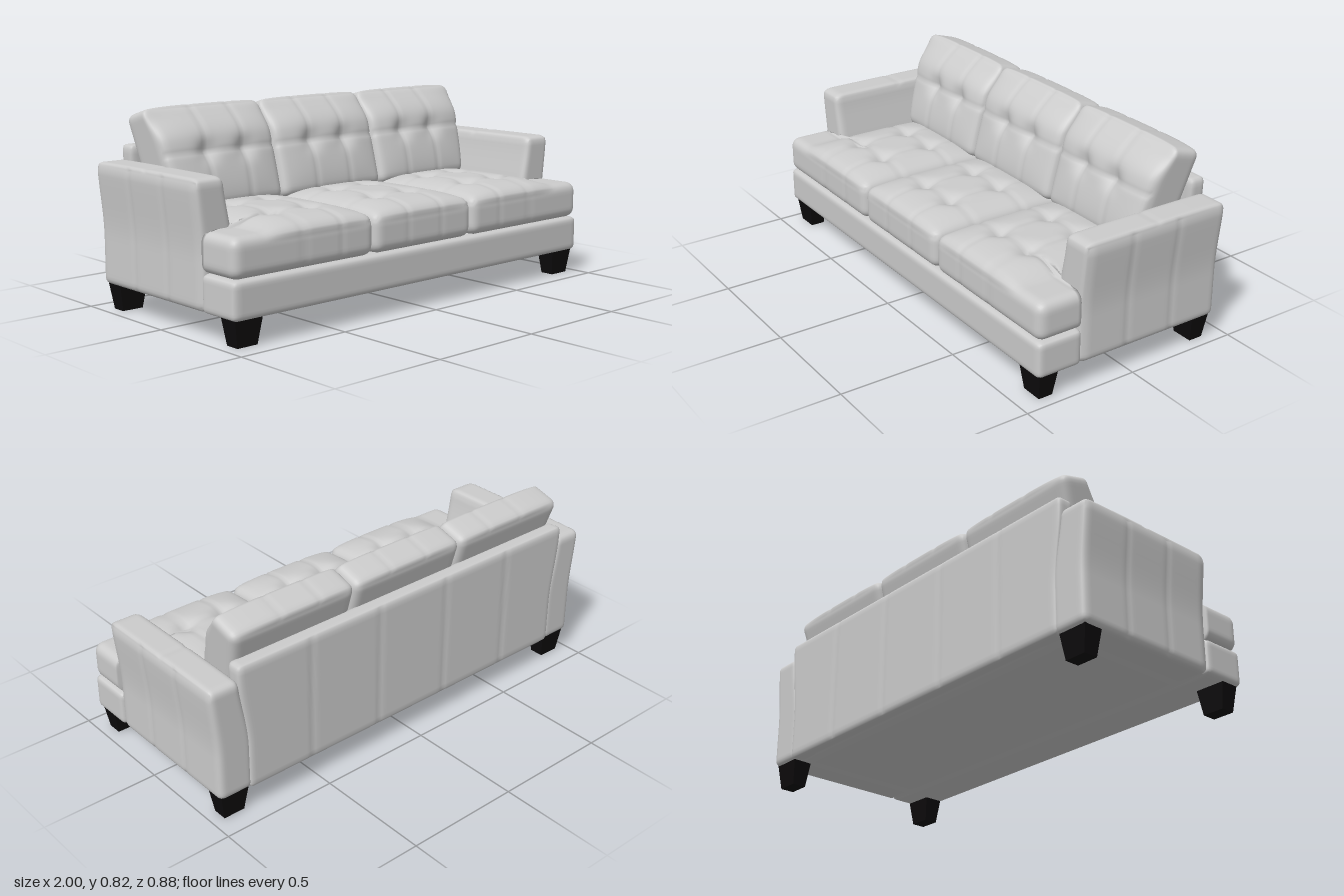
import * as THREE from 'three';
import { mergeVertices } from 'three/addons/utils/BufferGeometryUtils.js';

const leather = new THREE.MeshStandardMaterial({ color: 0xcccccc, roughness: 0.7 });
const darkWood = new THREE.MeshStandardMaterial({ color: 0x0d0b0c });

const bell = (d, width) => Math.exp(-(d * d) / (width * width));
const pillow = (u) => Math.max(0, 1 - u ** 4);
const ramp = THREE.MathUtils.smoothstep;

// Sum of narrow grooves at the given positions along one axis
const grooves = (v, places, depth = 0.005) =>
  -depth * places.reduce((sum, p) => sum + bell(v - p, 0.011), 0);

// Dense box from min to max with rounded edges.
// bend(p) reshapes it; swell(p, n) gives the push along the surface normal.
function softBox(min, max, radius, segments, { bend, swell } = {}) {
  const lo = new THREE.Vector3(...min), hi = new THREE.Vector3(...max);
  const size = hi.clone().sub(lo), centre = lo.clone().add(hi).multiplyScalar(0.5);
  let geo = new THREE.BoxGeometry(size.x, size.y, size.z, ...segments);
  geo.deleteAttribute('uv');
  geo.deleteAttribute('normal');
  geo = mergeVertices(geo, 1e-5);
  const inner = size.clone().multiplyScalar(0.5).subScalar(radius);
  const pos = geo.attributes.position;
  const p = new THREE.Vector3(), core = new THREE.Vector3(), n = new THREE.Vector3();
  for (let i = 0; i < pos.count; i++) {
    p.fromBufferAttribute(pos, i);
    core.copy(p).clamp(inner.clone().negate(), inner);
    p.sub(core).setLength(radius).add(core).add(centre);
    if (bend) bend(p);
    pos.setXYZ(i, p.x, p.y, p.z);
  }
  geo.computeVertexNormals();
  if (swell) {
    const normals = geo.attributes.normal;
    for (let i = 0; i < pos.count; i++) {
      p.fromBufferAttribute(pos, i);
      n.fromBufferAttribute(normals, i);
      p.addScaledVector(n, swell(p, n));
      pos.setXYZ(i, p.x, p.y, p.z);
    }
    geo.computeVertexNormals();
  }
  return geo;
}

function addPart(group, name, geometry, material = leather) {
  const mesh = new THREE.Mesh(geometry, material);
  mesh.name = name;
  group.add(mesh);
  return mesh;
}

// Seat cushion; side is -1, 0 or 1. Outer ones wrap round the arm fronts.
function seatCushion(side) {
  const centre = side * 0.55, half = side ? 0.268 : 0.279;
  const seams = [centre - 0.095, centre + 0.095], rows = [0, 0.24];
  return softBox([centre - half, 0.257, -0.27], [centre + half, 0.415, 0.438], 0.04, [42, 12, 48], {
    bend(p) {
      if (side && p.z > 0.245) p.x += side * 0.162 * ramp(p.x * side, 0.55, 0.78);
    },
    swell(p, n) {
      if (n.y > 0.5) {
        let h = 0.042 * pillow((p.x - centre) / half) * pillow((p.z - 0.12) / 0.33);
        h += grooves(p.x, seams) + grooves(p.z, rows);
        for (const x of seams) for (const z of rows) h -= 0.024 * bell(Math.hypot(p.x - x, p.z - z), 0.045);
        return h;
      }
      return n.z > 0.5 ? grooves(p.x, seams, 0.003) : 0;
    },
  });
}

// Back cushion built upright about its own centre, buttoned on the front
function backCushion(side) {
  const centre = side * 0.565, half = 0.282;
  const seams = [side * 0.55 - 0.095, side * 0.55 + 0.095], row = 0.014;
  return softBox([centre - half, -0.215, -0.095], [centre + half, 0.215, 0.095], 0.035, [42, 32, 14], {
    bend(p) {
      // Outer edge leans out with the arm
      if (side) p.x += side * 0.025 * ramp(p.x * side, 0.5, 0.83) * (p.y / 0.2);
      // Top front edge rolls back
      if (p.z > 0) p.z -= 0.05 * ramp(p.y, 0.06, 0.215) * (p.z / 0.095);
    },
    swell(p, n) {
      const u = (p.x - centre) / half;
      if (n.z > 0.5) {
        let h = 0.022 * pillow(u) * pillow(p.y / 0.215);
        h += grooves(p.x, seams) + grooves(p.y, [row]);
        for (const x of seams) h -= 0.024 * bell(Math.hypot(p.x - x, p.y - row), 0.045);
        return h;
      }
      return n.y > 0.5 ? 0.008 * pillow(u) + grooves(p.x, seams, 0.003) : 0;
    },
  });
}

// Flared arm with panel seams
function arm(side) {
  return softBox([-0.08, 0.105, -0.432], [0.08, 0.606, 0.244], 0.028, [16, 40, 52], {
    bend(p) {
      const flare = ramp(p.y, 0.3, 0.64);
      p.x = side * 0.9 + p.x * (1 - 0.14 * flare) + side * 0.036 * flare;
    },
    swell(p, n) {
      if (n.x * side > 0.6) return grooves(p.z, [0.02, -0.2, 0.225], 0.004) + grooves(p.y, [0.585], 0.003);
      if (n.y > 0.6) return 0.004 * pillow(p.z / 0.44) + grooves(p.z, [-0.1, 0.225], 0.003);
      return 0;
    },
  });
}

// Tapered square leg
function legGeometry() {
  const geo = new THREE.CylinderGeometry(Math.SQRT1_2, Math.SQRT1_2 * 0.72, 0.112, 4).toNonIndexed();
  geo.rotateY(Math.PI / 4);
  geo.scale(0.13, 1, 0.086);
  geo.computeVertexNormals();
  return geo;
}

export function createModel() {
  const sofa = new THREE.Group();
  sofa.name = 'sofa';

  // Base and front rail
  addPart(sofa, 'base', softBox([-0.95, 0.105, -0.42], [0.95, 0.28, 0.3], 0.01, [8, 4, 8]));
  addPart(sofa, 'frontRail', softBox([-0.98, 0.105, 0.235], [0.98, 0.256, 0.438], 0.022, [100, 14, 18]));

  // Backrest frame, widening upward with the arms
  addPart(sofa, 'backrest', softBox([-0.84, 0.107, -0.438], [0.84, 0.667, -0.365], 0.018, [120, 30, 8], {
    bend(p) { p.x *= 1 + 0.04 * ramp(p.y, 0.3, 0.64); },
    swell: (p, n) => (n.z < -0.6 ? grooves(p.x, [-0.53, -0.18, 0.18, 0.53], 0.004) : 0),
  }));

  for (const side of [-1, 1]) {
    const label = side > 0 ? 'left' : 'right';
    addPart(sofa, label + 'Arm', arm(side));
    for (const [end, z] of [['Front', 0.378], ['Back', -0.373]]) {
      const leg = addPart(sofa, label + end + 'Leg', legGeometry(), darkWood);
      leg.position.set(side * 0.9, 0.056, z);
    }
  }

  // Three seat and three back cushions
  const labels = ['right', 'middle', 'left'];
  for (const side of [-1, 0, 1]) {
    addPart(sofa, labels[side + 1] + 'SeatCushion', seatCushion(side));
    const back = addPart(sofa, labels[side + 1] + 'BackCushion', backCushion(side));
    back.position.set(0, 0.601, -0.262);
    back.rotation.x = -0.28;
  }
  return sofa;
}
